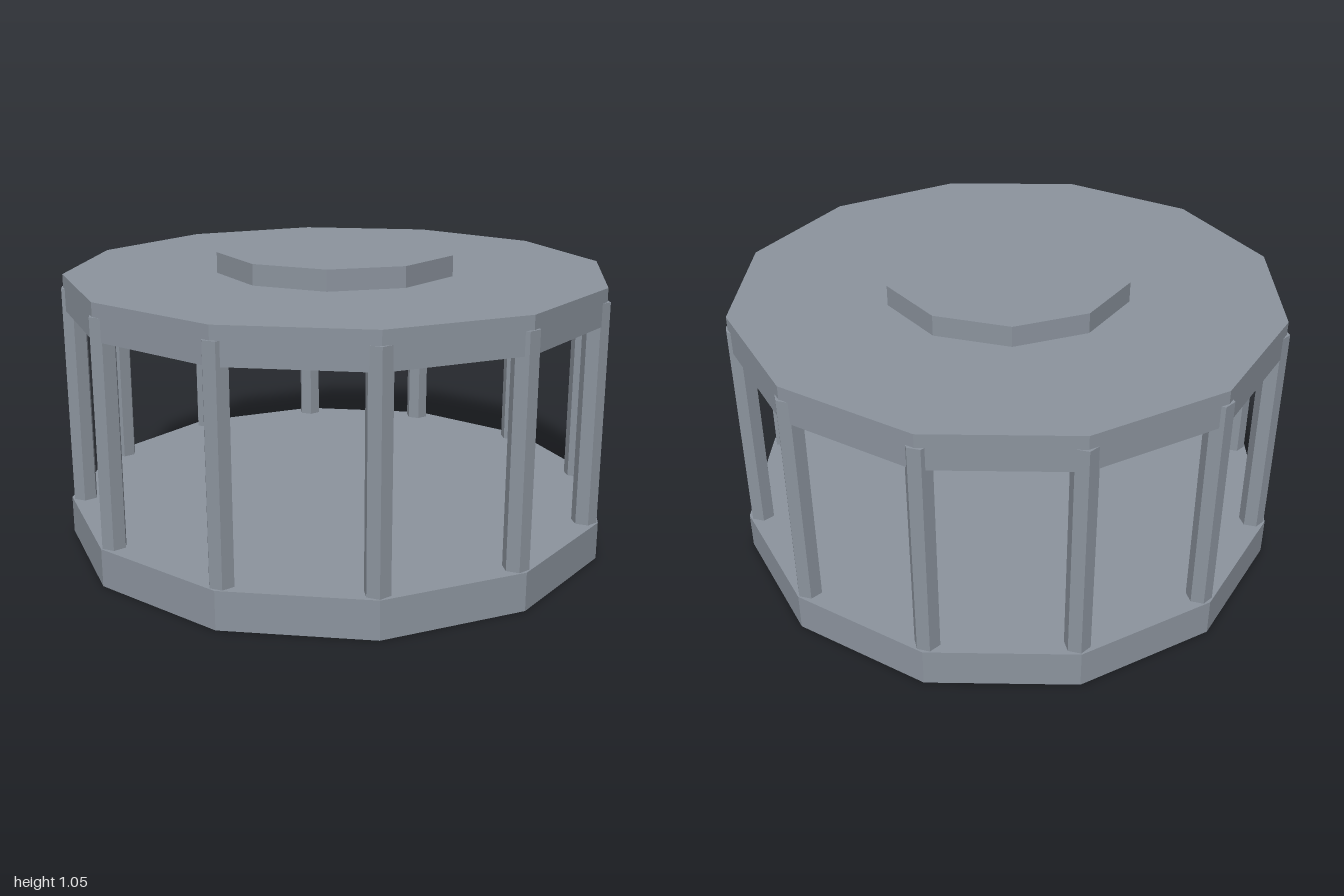
import * as THREE from 'three';

export function createModel() {
  const model = new THREE.Group();
  const metal = new THREE.MeshStandardMaterial({ color: 0x8c949e, flatShading: true });
  metal.name = 'grey metal';

  // Upright prism between two heights, with a corner pointing along +x
  function prism(name, radius, bottom, top, sides, x = 0, z = 0) {
    const geometry = new THREE.CylinderGeometry(radius, radius, top - bottom, sides);
    geometry.rotateY(Math.PI / 2);
    const mesh = new THREE.Mesh(geometry, metal);
    mesh.name = name;
    mesh.position.set(x, (bottom + top) / 2, z);
    model.add(mesh);
  }

  // Twelve-sided floor and roof, ten-sided cap
  prism('base', 1, 0, 0.136, 12);
  prism('roof', 0.984, 0.853, 0.981, 12);
  prism('cap', 0.44, 0.981, 1.055, 10);

  // Hexagonal posts at the corners, running a little way into the roof
  for (let i = 0; i < 12; i++) {
    const angle = (i * Math.PI) / 6;
    prism('post' + (i + 1), 0.045, 0.13, 0.933, 6, 0.95 * Math.cos(angle), 0.95 * Math.sin(angle));
  }
  return model;
}
